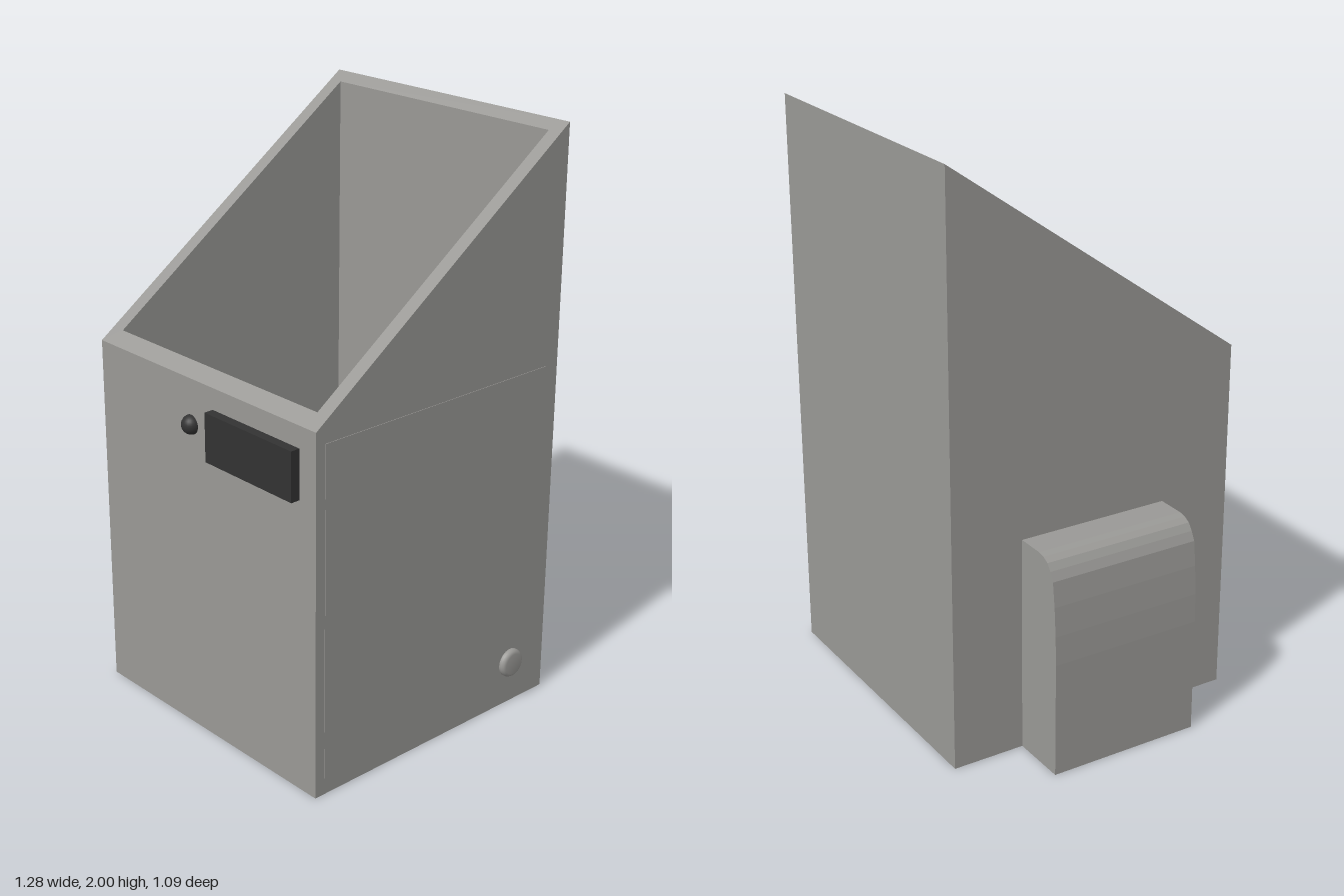
import * as THREE from 'three';

const body = new THREE.MeshStandardMaterial({ color: 0x9a9996 });
body.name = 'grey shell';
const dark = new THREE.MeshStandardMaterial({ color: 0x333333 });
dark.name = 'black plastic';

// Body limits, wall openings and sloped rim
const X0 = -0.44, X1 = 0.615, Z0 = -0.545, Z1 = 0.51;
const IX0 = -0.39, IX1 = 0.565, IZ0 = -0.505, IZ1 = 0.46;
const rimHeight = (z) => 1.25 + 0.75 * (Z1 - z) / (Z1 - Z0);

function add(group, name, geometry, material, x = 0, y = 0, z = 0) {
  const mesh = new THREE.Mesh(geometry, material);
  mesh.name = name;
  mesh.position.set(x, y, z);
  group.add(mesh);
  return mesh;
}

// Box given by its limits
function addBox(group, name, material, [x0, x1], [y0, y1], [z0, z1]) {
  return add(group, name, new THREE.BoxGeometry(x1 - x0, y1 - y0, z1 - z0), material,
    (x0 + x1) / 2, (y0 + y1) / 2, (z0 + z1) / 2);
}

// Rectangle in plan; z is negated because the extrusion is turned upright
function planRect(ShapeType, x0, x1, z0, z1) {
  return new ShapeType([
    new THREE.Vector2(x0, -z1), new THREE.Vector2(x1, -z1),
    new THREE.Vector2(x1, -z0), new THREE.Vector2(x0, -z0),
  ]);
}

// Four walls with a slanted top edge
function wallGeometry() {
  const shape = planRect(THREE.Shape, X0, X1, Z0, Z1);
  shape.holes.push(planRect(THREE.Path, IX0, IX1, IZ0, IZ1));
  const geometry = new THREE.ExtrudeGeometry(shape, { depth: 1, bevelEnabled: false });
  geometry.rotateX(-Math.PI / 2);
  const p = geometry.attributes.position;
  for (let i = 0; i < p.count; i++) {
    p.setY(i, p.getY(i) > 0.5 ? rimHeight(p.getZ(i)) : 0);
  }
  geometry.computeVertexNormals();
  return geometry;
}

// Side housing with a rounded outer shoulder
function housingGeometry() {
  const shape = new THREE.Shape();
  shape.moveTo(X0, 0);
  shape.lineTo(X0, 0.755);
  shape.lineTo(-0.54, 0.755);
  [[-0.565, 0.75], [-0.588, 0.738], [-0.605, 0.715], [-0.62, 0.685],
    [-0.63, 0.6], [-0.637, 0.5], [-0.64, 0.4], [-0.64, 0]].forEach(([x, y]) => shape.lineTo(x, y));
  return new THREE.ExtrudeGeometry(shape, { depth: 0.54, bevelEnabled: false });
}

export function createModel() {
  const model = new THREE.Group();
  model.name = 'bin';

  add(model, 'walls', wallGeometry(), body);
  addBox(model, 'floor', body, [IX0, IX1], [0, 0.05], [IZ0, IZ1]);
  add(model, 'sideHousing', housingGeometry(), body, 0, 0, -0.29);

  // Door on the left side, barely proud of the wall
  addBox(model, 'sideDoor', body, [X1 - 0.003, X1 + 0.002], [0.058, 1.205], [-0.49, 0.473]);

  // Door knob with a bevelled face
  const knobProfile = [[0.05, 0], [0.05, 0.012], [0.046, 0.019], [0.037, 0.024], [0, 0.024]]
    .map(([r, h]) => new THREE.Vector2(r, h));
  const knob = add(model, 'doorKnob', new THREE.LatheGeometry(knobProfile, 32), body, X1, 0.155, -0.377);
  knob.rotation.z = -Math.PI / 2;

  // Display unit passes through the front wall
  addBox(model, 'display', dark, [0.137, 0.542], [1.01, 1.177], [0.375, 0.543]);
  add(model, 'sensor', new THREE.SphereGeometry(0.033, 24, 16), dark, 0.028, 1.095, 0.51);

  return model;
}
